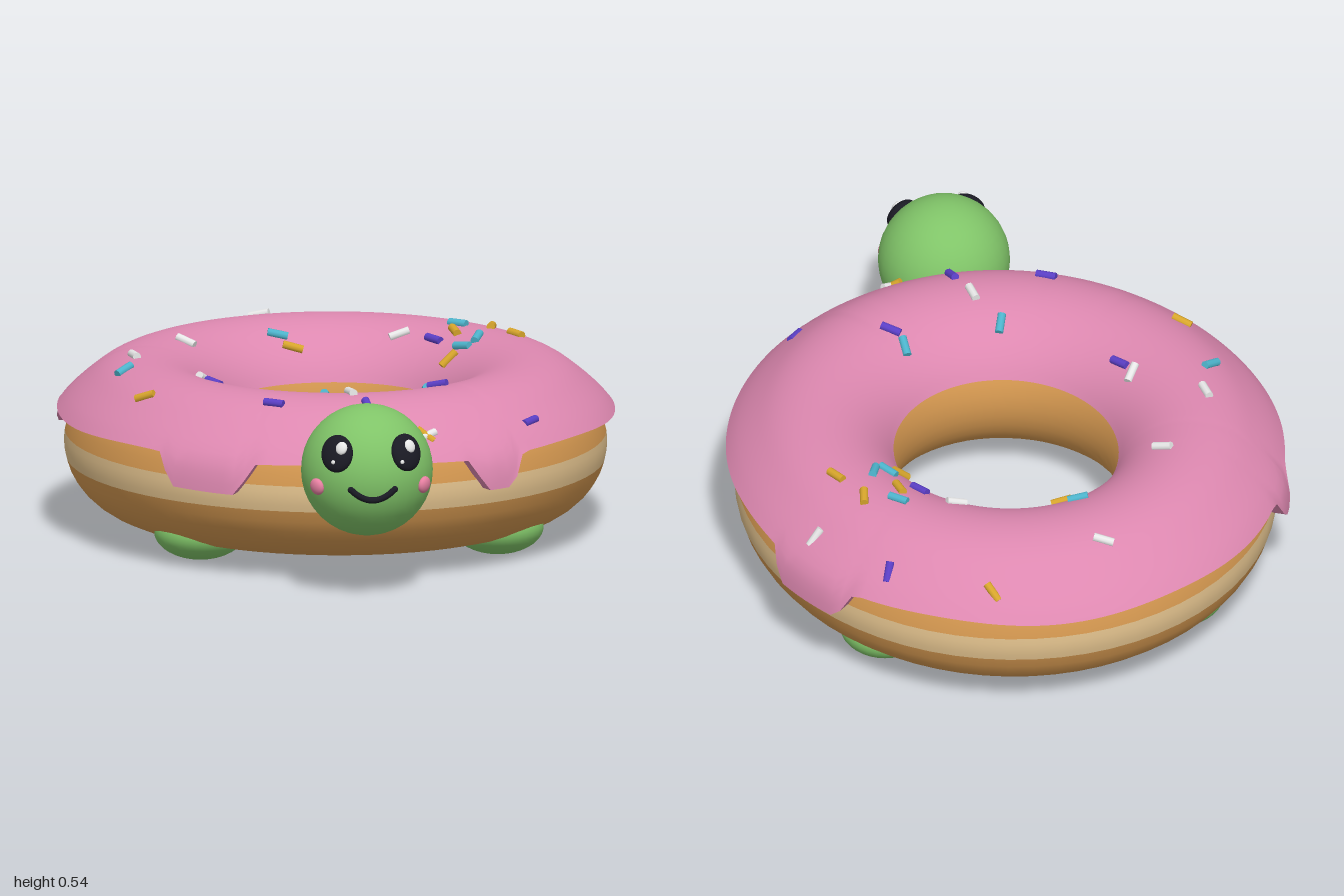
import * as THREE from 'three';

const mat = (name, color, side = THREE.FrontSide) => {
  const m = new THREE.MeshStandardMaterial({ color, side });
  m.name = name;
  return m;
};

// Ring layout: tube centre radius, centre height, ring centre and stretch along z
const R = 0.535, CY = 0.255, CX = -0.007, CZ = -0.145, SZ = 1.09;
const IW = 0.238, IH = 0.245;

// Icing drips: start and end angle around the ring, in degrees
const DRIPS = [[113, 134.5], [54, 67], [195.5, 207], [315, 337]];
const clamp = THREE.MathUtils.clamp;

// Height of the outer icing edge at an angle, lower inside a drip
function edgeY(theta) {
  const deg = THREE.MathUtils.radToDeg(theta);
  let drop = 0.004 * Math.sin(theta * 7);
  for (const [a, b] of DRIPS) {
    drop += 0.088 * THREE.MathUtils.smoothstep(Math.min(deg - a, b - deg), -0.8, 4);
  }
  return 0.35 - drop;
}

// Surface from cross-sections looped around the ring; section(theta, v) gives [offset, y]
function ringLoft(section, rows, segs = 160) {
  const pos = [], idx = [];
  for (let j = 0; j <= rows; j++) {
    for (let i = 0; i < segs; i++) {
      const t = (i / segs) * Math.PI * 2;
      const [d, y] = section(t, j / rows);
      pos.push((R + d) * Math.cos(t), y, (R + d) * Math.sin(t) * SZ);
      if (j < rows) {
        const a = j * segs + i, b = j * segs + (i + 1) % segs;
        idx.push(a, a + segs, b, b, a + segs, b + segs);
      }
    }
  }
  const g = new THREE.BufferGeometry();
  g.setAttribute('position', new THREE.Float32BufferAttribute(pos, 3));
  g.setIndex(idx);
  g.computeVertexNormals();
  return g;
}

function icingSection(theta, v) {
  const start = Math.asin((edgeY(theta) - CY) / IH);
  const end = Math.PI - Math.asin(0.095 / IH);
  const phi = start + (end - start) * v;
  const flare = clamp((Math.cos(phi) - 0.6) / 0.32, 0, 1);
  return [IW * Math.cos(phi) + 0.03 * flare * flare, CY + IH * Math.sin(phi)];
}

// Height of the icing top over a point, in ring coordinates
function icingHeight(x, z) {
  const d = clamp((Math.hypot(x, z / SZ) - R) / IW, -0.95, 0.95);
  return CY + IH * Math.sqrt(1 - d * d);
}

export function createModel() {
  const dough = mat('dough', 0xd2964f);
  const cream = mat('cream', 0xe0c08c);
  const pink = mat('pinkIcing', 0xdd88b0, THREE.DoubleSide);
  const green = mat('green', 0x80c468);
  const black = mat('black', 0x1a1a24);
  const blush = mat('blush', 0xea82a4);
  const white = mat('white', 0xe8e8e8);
  const yellow = mat('yellow', 0xd8a62c);
  const cyan = mat('cyan', 0x4db4cc);
  const purple = mat('purple', 0x5b3fc6);

  const model = new THREE.Group();
  const add = (parent, name, geometry, material) => {
    const m = new THREE.Mesh(geometry, material);
    m.name = name;
    parent.add(m);
    return m;
  };

  const ring = new THREE.Group();
  ring.name = 'doughnut';
  ring.position.set(CX, 0, CZ);
  model.add(ring);

  // Dough ring, split at the pale band around its outside
  const arc = (name, a, b, n, material) => {
    const pts = [];
    for (let i = 0; i <= n; i++) {
      const p = a + (b - a) * i / n;
      pts.push(new THREE.Vector2(R + 0.228 * Math.cos(p), CY + 0.21 * Math.sin(p)));
    }
    add(ring, name, new THREE.LatheGeometry(pts, 64), material).scale.z = SZ;
  };
  const low = Math.asin((0.21 - CY) / 0.21), high = Math.asin((0.283 - CY) / 0.21);
  arc('creamBand', low, high, 4, cream);
  arc('doughRing', high, low + Math.PI * 2, 36, dough);

  // Icing shell with its undersides
  add(ring, 'icing', ringLoft(icingSection, 24), pink);
  add(ring, 'icingOuterLip', ringLoft((t, v) => {
    const [d, y] = icingSection(t, 0);
    return [0.19 + (d - 0.19) * v, y];
  }, 1), pink);
  add(ring, 'icingInnerLip', ringLoft((t, v) => {
    const [d, y] = icingSection(t, 1);
    return [d + (-0.18 - d) * v, y];
  }, 1), pink);

  // Sprinkles: x, z and turn in degrees, laid along the icing
  const sprinkles = [
    [white, [[-0.16, -0.81, 20], [0.21, -0.54, -5], [0.615, -0.545, -15], [-0.405, -0.405, 35],
      [-0.573, -0.172, 80], [-0.393, 0, -55], [-0.017, 0.417, 80], [0.18, 0.613, -30]]],
    [yellow, [[0.175, -0.905, 55], [-0.09, -0.545, 5], [0.36, -0.47, 80], [0.467, -0.5, -80],
      [0.525, -0.385, 60], [0.33, -0.33, -15], [-0.58, 0.225, 30], [0.175, 0.613, 20]]],
    [cyan, [[-0.13, -0.58, 5], [0.375, -0.533, 40], [0.414, -0.374, -70], [0.37, -0.353, 50],
      [-0.615, -0.03, -40], [-0.075, 0.3, -70], [0.21, 0.24, 85]]],
    [purple, [[0.445, -0.755, -65], [0.3, -0.46, 55], [-0.37, 0.056, 55], [0.24, 0.294, 30],
      [-0.24, 0.48, 30], [0.02, 0.533, 80], [0.488, 0.427, -50]]],
  ];
  const stick = new THREE.CylinderGeometry(0.012, 0.012, 0.058, 10);
  const up = new THREE.Vector3(0, 1, 0);
  for (const [material, list] of sprinkles) {
    for (const [wx, wz, deg] of list) {
      const x = wx - CX, z = wz - CZ, a = THREE.MathUtils.degToRad(deg);
      const e = 0.02, dx = Math.cos(a), dz = Math.sin(a);
      const rise = icingHeight(x + dx * e, z + dz * e) - icingHeight(x - dx * e, z - dz * e);
      const s = add(ring, material.name + 'Sprinkle', stick, material);
      s.position.set(x, icingHeight(x, z) + 0.004, z);
      s.quaternion.setFromUnitVectors(up, new THREE.Vector3(dx * 2 * e, rise, dz * 2 * e).normalize());
    }
  }

  const ball = new THREE.SphereGeometry(1, 32, 20);

  // Four stubby feet
  for (const x of [-0.42, 0.42]) {
    for (const z of [0.255, -0.535]) {
      const foot = add(model, 'foot', ball, green);
      foot.position.set(x + CX, 0.08, z);
      foot.scale.set(0.13, 0.078, 0.13);
    }
  }

  // Head, with features laid on its surface facing outward
  const head = new THREE.Group();
  head.name = 'head';
  head.position.set(CX, 0.357, 0.795);
  model.add(head);
  const HR = 0.186;
  add(head, 'skull', ball, green).scale.setScalar(HR);
  const onHead = (x, y, r = HR) => new THREE.Vector3(x, y, Math.sqrt(r * r - x * x - y * y));
  const feature = (name, x, y, r, size, material, roll = 0) => {
    const f = add(head, name, ball, material);
    f.position.copy(onHead(x, y, r));
    f.quaternion.setFromUnitVectors(new THREE.Vector3(0, 0, 1), f.position.clone().normalize());
    f.rotateZ(roll);
    f.scale.set(...size);
  };
  for (const s of [-1, 1]) {
    feature('eye', s * 0.097, 0.074, 0.184, [0.048, 0.055, 0.024], black, -s * 0.3);
    feature('eyeShine', s * 0.097 + 0.01, 0.094, 0.206, [0.017, 0.019, 0.009], white);
    feature('eyeGlint', s * 0.097 - 0.014, 0.055, 0.206, [0.006, 0.006, 0.004], white);
    feature('cheek', s * 0.151, -0.025, 0.188, [0.025, 0.024, 0.014], blush);
  }

  // Smile, with rounded ends
  const smile = [];
  for (let i = -4; i <= 4; i++) {
    const t = i / 4;
    smile.push(onHead(t * 0.062, -0.053 + 0.03 * t * t, 0.189));
  }
  add(head, 'mouth', new THREE.TubeGeometry(new THREE.CatmullRomCurve3(smile), 24, 0.009, 8), black);
  for (const p of [smile[0], smile[8]]) {
    const end = add(head, 'mouthCorner', ball, black);
    end.position.copy(p);
    end.scale.setScalar(0.009);
  }

  return model;
}
